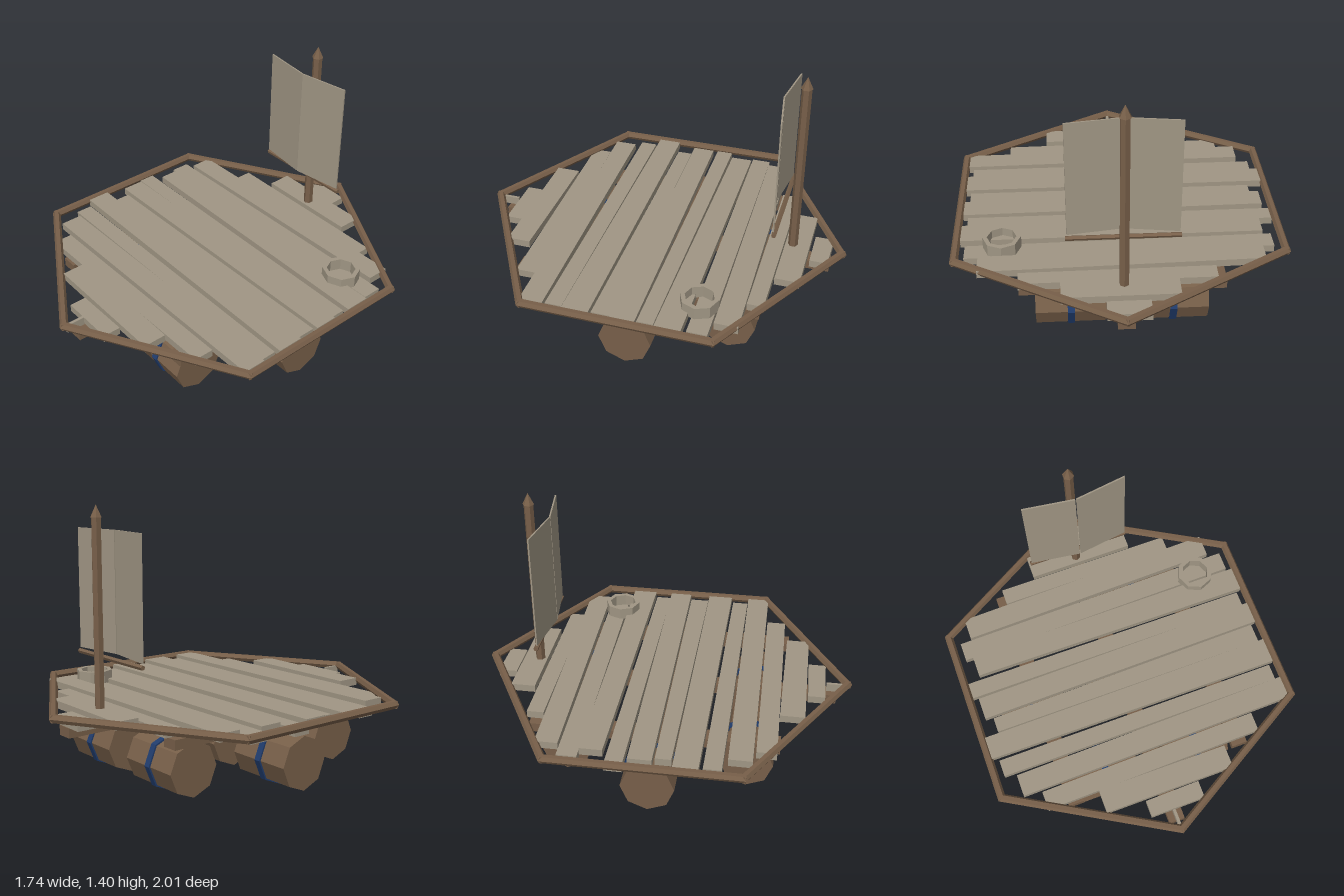
import * as THREE from 'three';

const makeMaterial = (name, color) => {
  const m = new THREE.MeshStandardMaterial({ color, flatShading: true });
  m.name = name;
  return m;
};

export function createModel() {
  const raft = new THREE.Group();
  raft.name = 'raft';
  const wood = makeMaterial('brown wood', 0x775f49);
  const pale = makeMaterial('pale weathered wood and canvas', 0xa09684);
  const blue = makeMaterial('blue band', 0x203c6c);

  const add = (name, geometry, material, x = 0, y = 0, z = 0, parent = raft) => {
    const mesh = new THREE.Mesh(geometry, material);
    mesh.name = name;
    mesh.position.set(x, y, z);
    parent.add(mesh);
    return mesh;
  };
  // Straight pole between two points, with edges pointing sideways
  const pole = (name, a, b, r, sides) => {
    const geo = new THREE.CylinderGeometry(r, r, a.distanceTo(b), sides);
    geo.rotateY(Math.PI / 6).rotateX(Math.PI / 2);
    const mid = a.clone().add(b).multiplyScalar(0.5);
    add(name, geo, wood, mid.x, mid.y, mid.z).lookAt(b);
  };

  // Seven floating barrels: rows of two, three and two
  const barrelGeo = new THREE.CylinderGeometry(0.14, 0.14, 0.364, 8).rotateZ(Math.PI / 2);
  const bandGeo = new THREE.CylinderGeometry(0.149, 0.149, 0.036, 8).rotateZ(Math.PI / 2);
  for (const [z, xs] of [[-0.48, [-0.263, 0.263]], [0, [-0.527, 0, 0.527]], [0.48, [-0.263, 0.263]]]) {
    for (const x of xs) {
      const barrel = new THREE.Group();
      barrel.name = 'barrel';
      barrel.position.set(x, 0.15, z);
      add('barrelBody', barrelGeo, wood, 0, 0, 0, barrel);
      add('barrelBand', bandGeo, blue, 0, 0, 0, barrel);
      raft.add(barrel);
    }
  }

  // Support beams
  for (const [x, length] of [[-0.48, 1.3], [0, 1.85], [0.48, 1.3]]) {
    add('beam', new THREE.BoxGeometry(0.086, 0.05, length), wood, x, 0.321, 0);
  }

  // Deck planks: x ends, then z edges at the left and right ends of each row
  const planks = [
    [-0.125, 0.092, -0.925, -0.825, -0.92, -0.825],
    [-0.275, 0.313, -0.81, -0.68, -0.81, -0.68],
    [-0.475, 0.525, -0.67, -0.58, -0.67, -0.585],
    [-0.735, 0.73, -0.56, -0.44, -0.588, -0.467],
    [-0.8, 0.805, -0.434, -0.33, -0.455, -0.35],
    [-0.757, 0.83, -0.328, -0.21, -0.33, -0.195],
    [-0.836, 0.805, -0.19, -0.1, -0.185, -0.1],
    [-0.8, 0.83, -0.08, 0.042, -0.098, 0.025],
    [-0.757, 0.805, 0.05, 0.132, 0.03, 0.135],
    [-0.836, 0.83, 0.145, 0.272, 0.14, 0.28],
    [-0.8, 0.805, 0.29, 0.382, 0.29, 0.378],
    [-0.735, 0.83, 0.405, 0.525, 0.382, 0.505],
    [-0.635, 0.6, 0.535, 0.638, 0.515, 0.62],
    [-0.345, 0.385, 0.635, 0.765, 0.64, 0.765],
    [-0.125, 0.18, 0.775, 0.865, 0.77, 0.865],
  ];
  planks.forEach(([x0, x1, l0, l1, r0, r1], i) => {
    const geo = new THREE.BoxGeometry(1, 0.04, 1);
    const p = geo.attributes.position;
    for (let k = 0; k < p.count; k++) {
      const right = p.getX(k) > 0, front = p.getZ(k) > 0;
      p.setX(k, right ? x1 : x0);
      p.setZ(k, right ? (front ? r1 : r0) : (front ? l1 : l0));
    }
    // Alternate planks sit a little higher
    add('plank', geo, pale, 0, i % 2 ? 0.386 : 0.367, 0);
  });
  add('bowSliver', new THREE.BoxGeometry(0.016, 0.045, 0.1), pale, 0, 0.372, 0.92);

  // Six-sided rail
  const corner = (i) => new THREE.Vector3(Math.sin(i * Math.PI / 3), 0, Math.cos(i * Math.PI / 3))
    .multiplyScalar(0.982).setY(0.395);
  for (let i = 0; i < 6; i++) {
    const a = corner(i), b = corner(i + 1);
    const overlap = b.clone().sub(a).setLength(0.012);
    pole('rail', a.sub(overlap), b.add(overlap), 0.022, 6);
  }

  // Open ring on the deck
  const ringProfile = [[0.076, 0.385], [0.1, 0.385], [0.1, 0.452], [0.076, 0.452], [0.076, 0.385]]
    .map(([r, y]) => new THREE.Vector2(r, y));
  add('deckRing', new THREE.LatheGeometry(ringProfile, 8), pale, 0.61, 0, -0.365);

  // Mast with pointed cap
  add('mast', new THREE.CylinderGeometry(0.026, 0.026, 1, 6), wood, 0, 0.845, -0.72);
  add('mastTip', new THREE.ConeGeometry(0.031, 0.062, 6), wood, 0, 1.374, -0.72);

  // Boom and two-panel sail folded towards the front
  pole('boom', new THREE.Vector3(-0.282, 0.645, -0.655), new THREE.Vector3(0.282, 0.645, -0.655), 0.013, 5);
  for (const side of [-1, 1]) {
    const panel = add('sailPanel', new THREE.BoxGeometry(0.275, 0.615, 0.008), pale, side * 0.139, 0.972, -0.632);
    panel.rotation.y = side * 0.14;
  }
  return raft;
}
